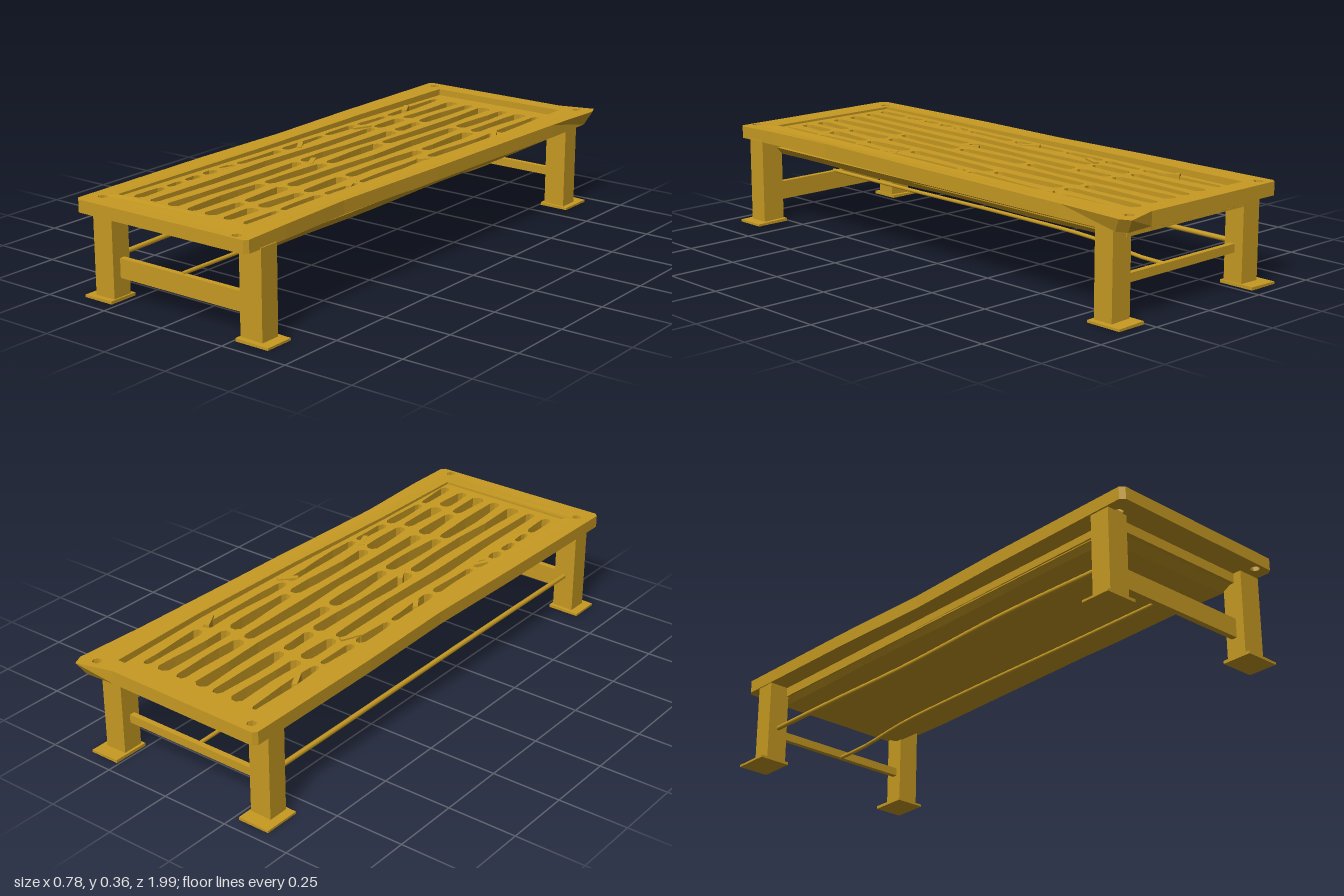
import * as THREE from 'three';

export function createModel() {
  const model = new THREE.Group();
  const gold = new THREE.MeshStandardMaterial({ color: 0xc79a22 });
  gold.name = 'ochre';

  const add = (name, geometry) => {
    const mesh = new THREE.Mesh(geometry, gold);
    mesh.name = name;
    model.add(mesh);
    return mesh;
  };
  // box given by its min and max corners
  const box = (name, [x0, y0, z0], [x1, y1, z1]) => {
    const g = new THREE.BoxGeometry(x1 - x0, y1 - y0, z1 - z0);
    g.translate((x0 + x1) / 2, (y0 + y1) / 2, (z0 + z1) / 2);
    return add(name, g);
  };
  // moves every vertex by a rule
  const bend = (g, rule) => {
    const p = g.attributes.position, v = new THREE.Vector3();
    for (let i = 0; i < p.count; i++) {
      rule(v.fromBufferAttribute(p, i));
      p.setXYZ(i, v.x, v.y, v.z);
    }
    g.computeVertexNormals();
    return g;
  };
  // plan outlines are [x, z] pairs
  const plan = (pts) => pts.map(([x, z]) => new THREE.Vector2(x, -z));
  const slab = (outline, holes, y0, y1) => {
    const shape = new THREE.Shape(plan(outline));
    holes.forEach((h) => shape.holes.push(new THREE.Path(plan(h))));
    const g = new THREE.ExtrudeGeometry(shape, { depth: y1 - y0, bevelEnabled: false });
    return g.rotateX(-Math.PI / 2).translate(0, y0, 0);
  };

  // rim with a warped outline, large opening and corner bolt holes
  const outline = [
    [-0.35, 0.995], [0.335, 0.99], [0.347, 0.975], [0.345, 0.8], [0.335, 0.5], [0.343, 0.25],
    [0.353, 0], [0.36, -0.3], [0.372, -0.7], [0.387, -0.96], [0.37, -0.998], [0.24, -0.962],
    [-0.35, -0.97], [-0.362, -0.955], [-0.36, -0.4], [-0.35, 0], [-0.36, 0.4], [-0.365, 0.98],
  ];
  const opening = [
    [-0.282, 0.885], [0.25, 0.885], [0.255, 0.5], [0.275, 0], [0.285, -0.5], [0.275, -0.9],
    [-0.272, -0.9], [-0.28, -0.4], [-0.275, 0.2],
  ];
  const bolts = [[-0.31, 0.925], [0.29, 0.965], [0.272, 0.88], [-0.315, -0.93], [0.325, -0.945]].map(
    ([x, z]) => [0, 1, 2, 3, 4, 5].map((i) => [
      x + 0.017 * Math.cos(i * Math.PI / 3), z + 0.017 * Math.sin(i * Math.PI / 3)]));
  bolts.splice(2, 1);
  add('frame', bend(slab(outline, [opening, ...bolts], 0.31, 0.357), (v) => {
    if (v.y < 0.32 && v.z < -0.95 && v.x > 0.34) { v.x -= 0.018; v.z += 0.03; }
    if (v.z > 0.9) v.y -= v.y > 0.33 ? 0.003 : 0;
  }));

  // slatted panel: columns of uneven slots, split by bridges
  const columns = [
    [-0.236, 0.036, [-0.5, -0.32, -0.13, 0.12, 0.36, 0.45, 0.53, 0.62, 0.71]],
    [-0.16, 0.046, [-0.51, -0.33]],
    [-0.08, 0.048, [-0.5, -0.34, 0.2]],
    [-0.005, 0.05, [-0.17, 0.16, 0.48]],
    [0.073, 0.048, [-0.52, 0.46, 0.68]],
    [0.152, 0.048, [-0.5, -0.18, 0.25, 0.48, 0.7]],
    [0.225, 0.038, [-0.55, -0.12, 0.28, 0.46, 0.68]],
  ];
  const slots = [];
  columns.forEach(([x, width, bridges], c) => {
    const ends = [-0.845, ...bridges, 0.865];
    const h = width / 2;
    const mid = (z) => x + 0.004 * Math.sin(z * 9 + c * 2);
    for (let i = 0; i + 1 < ends.length; i++) {
      const a = ends[i] + 0.011, b = ends[i + 1] - 0.011;
      const side = [];
      for (let k = 0; k <= 4; k++) {
        const z = THREE.MathUtils.lerp(a + 0.016, b - 0.016, k / 4);
        side.push([z, h - 0.003 + 0.003 * Math.sin(z * 17 + c * 3)]);
      }
      slots.push([
        [mid(a) - h * 0.4, a], ...side.map(([z, w]) => [mid(z) - w, z]),
        [mid(b) - h * 0.4, b], [mid(b) + h * 0.4, b],
        ...side.reverse().map(([z, w]) => [mid(z) + w, z]), [mid(a) + h * 0.4, a],
      ]);
    }
  });
  const panel = [[-0.29, 0.895], [0.262, 0.895], [0.285, 0], [0.292, -0.91], [-0.285, -0.91]];
  add('slattedPanel', bend(slab(panel, slots, 0.275, 0.345), (v) => {
    if (v.y > 0.3) v.y = 0.341 + 0.009 * v.z;
  }));

  // tray closing the panel from below, tapering downward
  const tray = new THREE.BoxGeometry(0.576, 0.026, 1.805, 6, 1, 14).translate(0, 0.269, -0.008);
  add('tray', bend(tray, (v) => {
    if (v.y < 0.26) {
      v.x *= 0.93;
      v.z *= 0.94;
      v.y += 0.002 * Math.sin(v.z * 8 + v.x * 9);
    }
    v.x -= 0.006 * v.z;
  }));

  // small ragged chips bridging the outer slots
  [[-0.235, -0.62, 0.5], [-0.2, -0.3, -0.4], [-0.225, 0.03, 0.6], [-0.23, 0.41, -0.5],
    [0.245, -0.5, 0.5], [0.235, -0.1, -0.7], [0.21, 0.3, 0.4], [-0.06, 0.17, 0.5]].forEach(([x, z, turn]) => {
    const chip = add('chip', new THREE.BoxGeometry(0.018, 0.065, 0.075));
    chip.position.set(x, 0.312, z);
    chip.rotation.y = turn;
  });

  // legs on flat foot plates
  [
    ['frontRight', -0.358, -0.276, 0.85, 0.925, -0.39, -0.27, 0.835, 0.945],
    ['frontLeft', 0.262, 0.35, 0.85, 0.925, 0.258, 0.388, 0.835, 0.945],
    ['backRight', -0.358, -0.278, -0.905, -0.83, -0.39, -0.272, -0.955, -0.82],
    ['backLeft', 0.268, 0.35, -0.905, -0.83, 0.258, 0.37, -0.955, -0.82],
  ].forEach(([name, x0, x1, z0, z1, fx0, fx1, fz0, fz1]) => {
    box(name + 'Leg', [x0, 0.008, z0], [x1, 0.315, z1]);
    const foot = box(name + 'Foot', [fx0, 0, fz0], [fx1, 0.011, fz1]);
    bend(foot.geometry, (v) => { if (v.y > 0.005 && Math.abs(v.x) > 0.36) v.y -= 0.003; });
  });

  // end rails
  box('frontRail', [-0.28, 0.076, 0.872], [0.268, 0.144, 0.893]);
  box('backRail', [-0.285, 0.112, -0.872], [0.275, 0.142, -0.852]);

  // thin stretcher rods running front to back
  const rod = (name, pts, r) => {
    const curve = new THREE.CatmullRomCurve3(pts.map((p) => new THREE.Vector3(...p)));
    add(name, new THREE.TubeGeometry(curve, 24, r, 8));
  };
  rod('sideRod', [[-0.315, 0.14, 0.87], [-0.318, 0.145, 0.4], [-0.312, 0.137, -0.1],
    [-0.315, 0.138, -0.5], [-0.315, 0.138, -0.85]], 0.009);
  rod('centreRod', [[-0.012, 0.145, 0.885], [-0.01, 0.143, 0.4], [-0.004, 0.146, -0.1],
    [0, 0.14, -0.5], [0, 0.118, -0.7], [0, 0.115, -0.86]], 0.007);

  return model;
}
